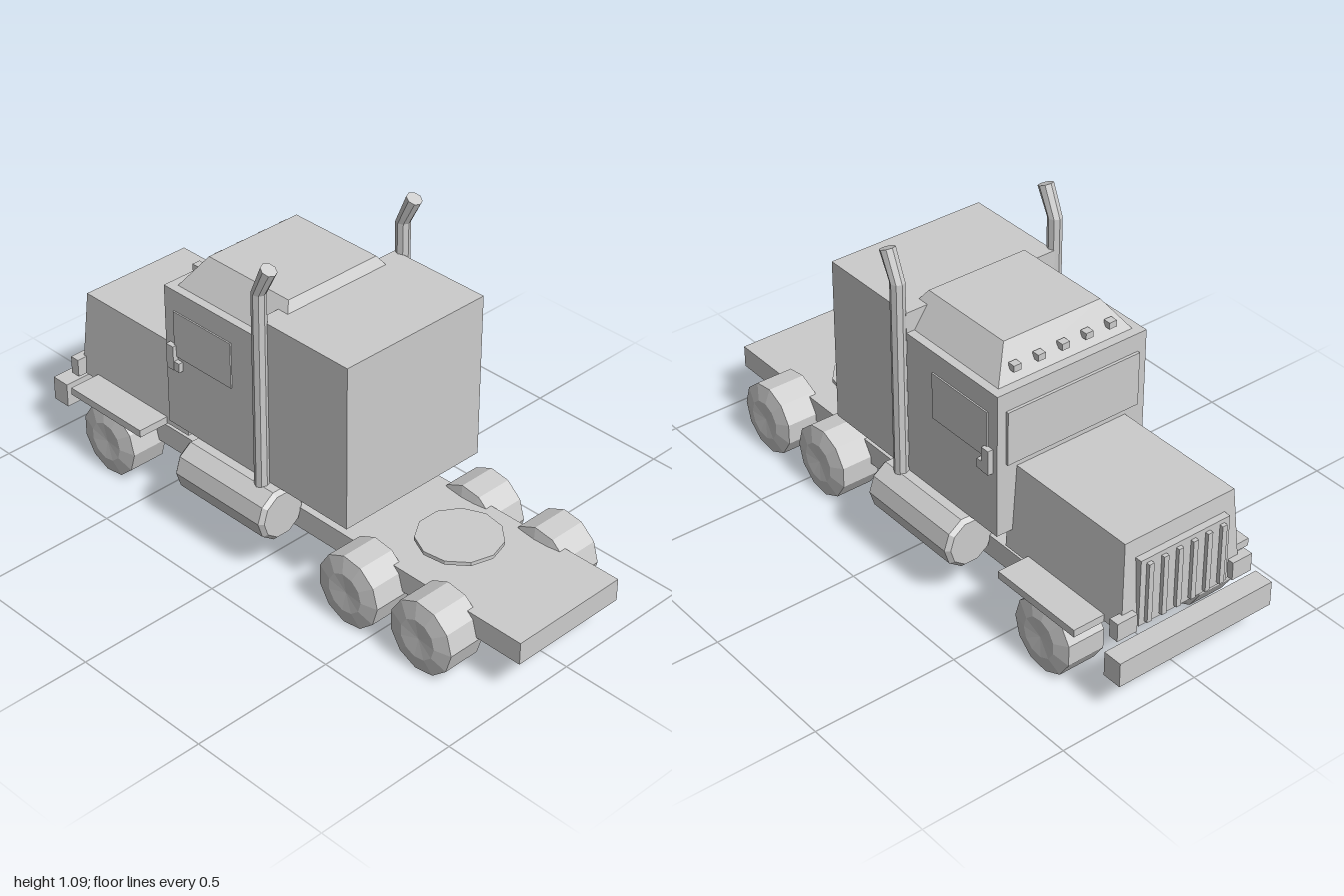
import * as THREE from 'three';

export function createModel() {
  const truck = new THREE.Group();
  truck.name = 'truck';
  const grey = new THREE.MeshStandardMaterial({ color: 0xcccccc, flatShading: true });
  grey.name = 'plain grey';

  const add = (name, geometry) => {
    const mesh = new THREE.Mesh(geometry, grey);
    mesh.name = name;
    truck.add(mesh);
    return mesh;
  };
  // Box given by its extents on each axis
  const box = (name, x0, x1, y0, y1, z0, z1) =>
    add(name, new THREE.BoxGeometry(x1 - x0, y1 - y0, z1 - z0)
      .translate((x0 + x1) / 2, (y0 + y1) / 2, (z0 + z1) / 2));
  // Box centred on x
  const slab = (name, w, y0, y1, z0, z1) => box(name, -w, w, y0, y1, z0, z1);
  // Box on one side, s = 1 or -1
  const sideBox = (name, s, x0, x1, ...rest) =>
    box(name, Math.min(s * x0, s * x1), Math.max(s * x0, s * x1), ...rest);
  // Tapered block: [half width, front z, back z] at the bottom and the top
  const taper = (name, y0, y1, low, high) => {
    const g = new THREE.BoxGeometry(2, 1, 2);
    const p = g.attributes.position;
    for (let i = 0; i < p.count; i++) {
      const top = p.getY(i) > 0;
      const [w, front, back] = top ? high : low;
      p.setXYZ(i, p.getX(i) * w, top ? y1 : y0, p.getZ(i) < 0 ? front : back);
    }
    return add(name, g);
  };
  const lathe = (points, sides) =>
    new THREE.LatheGeometry(points.map(([r, y]) => new THREE.Vector2(r, y)), sides);

  // Frame and bumper
  slab('chassis', 0.213, 0.133, 0.21, -0.7, 1);
  slab('bumper', 0.295, 0.125, 0.21, -1, -0.932);

  // Coupling plate
  add('couplingPlate', new THREE.CylinderGeometry(0.137, 0.137, 0.013, 11).translate(0, 0.24, 0.56));

  // Cab, sleeper and sloped roof fairing
  slab('sleeper', 0.283, 0.31, 0.877, -0.005, 0.365);
  slab('cab', 0.282, 0.31, 0.808, -0.43, 0);
  taper('roofFairing', 0.808, 0.908, [0.253, -0.398, 0.08], [0.182, -0.333, 0.016]);
  slab('windshield', 0.25, 0.56, 0.745, -0.44, -0.429);
  for (let i = -2; i <= 2; i++)
    box('roofLight', i * 0.09 - 0.014, i * 0.09 + 0.014, 0.838, 0.86, -0.396, -0.37);

  // Hood and grille; the bars lean with the hood front
  taper('hood', 0.237, 0.537, [0.228, -0.926, -0.405], [0.208, -0.906, -0.405]);
  slab('grille', 0.17, 0.24, 0.475, -0.934, -0.91);
  for (let i = 0; i < 6; i++) {
    const x = -0.14 + i * 0.056;
    box('grilleBar', x - 0.009, x + 0.009, 0.25, 0.46, -0.947, -0.93);
  }

  for (const s of [1, -1]) {
    sideBox('headlight', s, 0.185, 0.26, 0.237, 0.3, -0.945, -0.91);
    sideBox('fender', s, 0.15, 0.34, 0.233, 0.259, -0.85, -0.508);
    sideBox('sideWindow', s, 0.28, 0.287, 0.575, 0.735, -0.387, -0.13);
    sideBox('mirrorArm', s, 0.28, 0.298, 0.53, 0.562, -0.41, -0.355);
    sideBox('mirror', s, 0.28, 0.3, 0.53, 0.615, -0.41, -0.378);

    // Fuel tank with bevelled ends
    add('fuelTank', lathe([[0, -0.2], [0.078, -0.2], [0.092, -0.187],
      [0.092, 0.187], [0.078, 0.2], [0, 0.2]], 10)
      .rotateY(Math.PI / 10).rotateX(Math.PI / 2).translate(s * 0.283, 0.22, -0.11));

    // Exhaust stack with a tip leaning back
    add('exhaustStack', new THREE.CylinderGeometry(0.024, 0.024, 0.68, 8, 1, true)
      .translate(s * 0.298, 0.643, 0.014));
    const tip = new THREE.CylinderGeometry(0.025, 0.024, 0.095, 8);
    const p = tip.attributes.position;
    for (let i = 0; i < p.count; i++) {
      if (p.getY(i) > 0) {
        p.setY(i, p.getY(i) - p.getZ(i) * 0.42);
        p.setZ(i, p.getZ(i) + 0.045);
      }
    }
    add('exhaustTip', tip.translate(s * 0.298, 1.03, 0.014));

    // Wheels with slightly domed sides
    for (const z of [-0.69, 0.41, 0.71]) {
      add('wheel', lathe([[0, -0.074], [0.068, -0.08], [0.124, -0.066],
        [0.124, 0.066], [0.068, 0.08], [0, 0.074]], 11)
        .rotateZ(-Math.PI / 2).translate(s * 0.255, 0.124, z));
    }
  }
  return truck;
}
